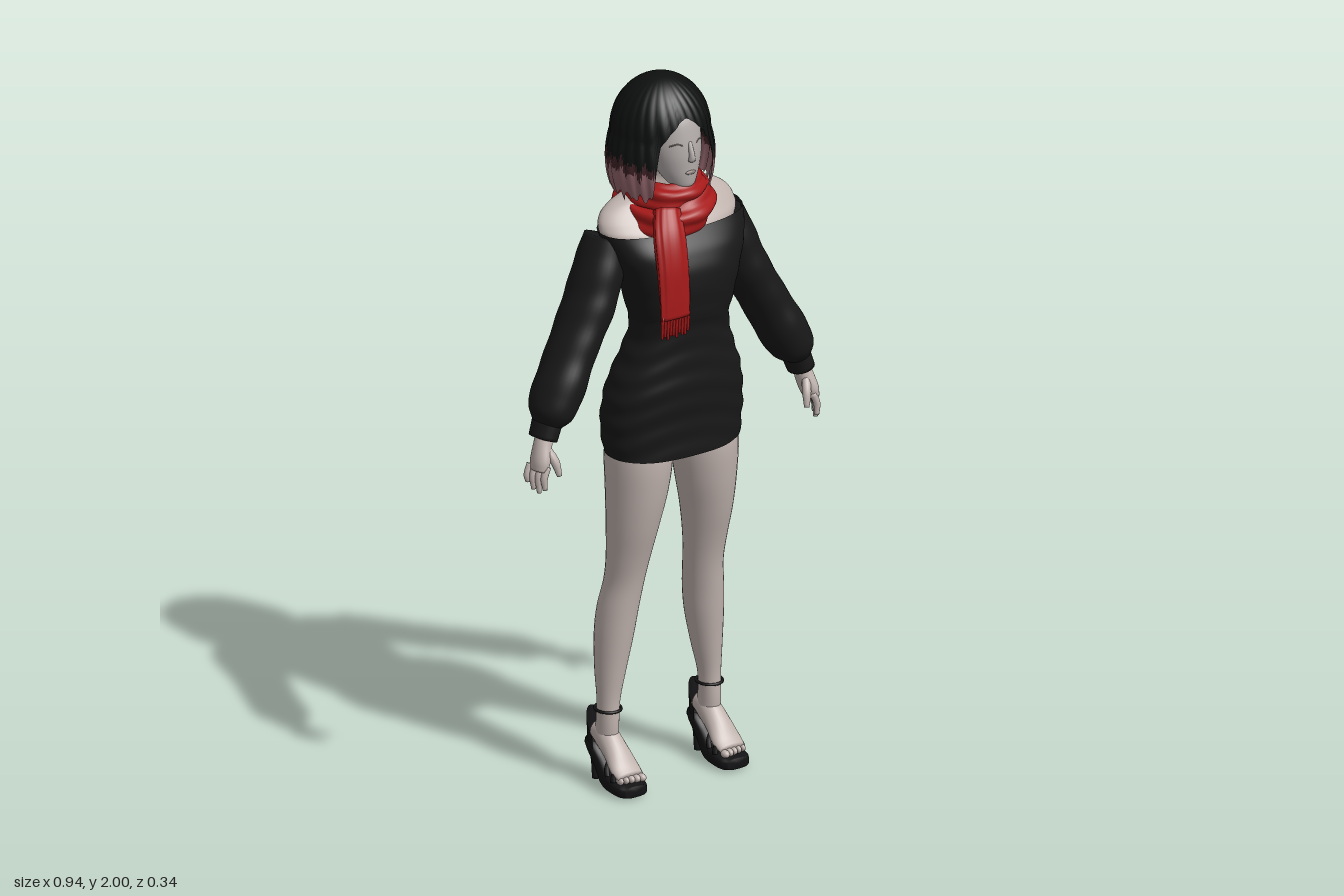
import * as THREE from 'three';
import { mergeVertices } from 'three/addons/utils/BufferGeometryUtils.js';

const V = (x, y, z) => new THREE.Vector3(x, y, z);
const mat = (color, name, side = THREE.FrontSide) => {
  const m = new THREE.MeshStandardMaterial({ color, side });
  m.name = name;
  return m;
};

// Smooth grid surface from a rule f(u, v); pick(y, u) may sort faces into material groups
function surface(f, nu, nv, pick) {
  const pos = [], lists = [[], [], []];
  for (let j = 0; j <= nv; j++) for (let i = 0; i <= nu; i++) pos.push(...f(i / nu, j / nv).toArray());
  for (let j = 0; j < nv; j++) for (let i = 0; i < nu; i++) {
    const a = j * (nu + 1) + i, b = a + 1, c = a + nu + 1, d = c + 1;
    const k = pick ? pick((pos[a * 3 + 1] + pos[d * 3 + 1]) / 2, i / nu) : 0;
    lists[k].push(a, c, b, b, c, d);
  }
  let g = new THREE.BufferGeometry();
  g.setAttribute('position', new THREE.Float32BufferAttribute(pos, 3));
  g.setIndex(lists.flat());
  g = mergeVertices(g, 1e-5);
  g.computeVertexNormals();
  if (pick) {
    g.clearGroups();
    let start = 0;
    lists.forEach((l, k) => { g.addGroup(start, l.length, k); start += l.length; });
  }
  return g;
}

// Loft of oval rings; each section is [x, y, z, halfWidth, halfDepth]
function loft(sections, { sides = 24, steps = 32, cap = true, flat = false, power = 1, warp } = {}) {
  const path = new THREE.CatmullRomCurve3(sections.map(s => V(s[0], s[1], s[2])));
  const size = new THREE.CatmullRomCurve3(sections.map(s => V(s[3], s[4], 0)), false, 'catmullrom', 0.5);
  const pw = c => Math.sign(c) * Math.abs(c) ** power;
  return surface((u, v) => {
    const j = Math.round(v * steps);
    const t = cap ? THREE.MathUtils.clamp((j - 1) / (steps - 2), 0, 1) : v;
    const r = cap && (j === 0 || j === steps) ? 0 : 1;
    const T = path.getTangent(t);
    if (flat) T.set(0, Math.sign(T.y), 0);
    const U = V(1, 0, 0).addScaledVector(T, -T.x).normalize();
    const W = U.clone().cross(T);
    const s = size.getPoint(t), a = u * Math.PI * 2, p = path.getPoint(t);
    const k = r * (warp ? warp(p.y, a) : 1);
    return p.addScaledVector(U, s.x * k * pw(Math.cos(a))).addScaledVector(W, s.y * k * pw(Math.sin(a)));
  }, sides, steps);
}

export function createModel() {
  const model = new THREE.Group();
  model.name = 'standingWoman';
  const D = THREE.DoubleSide;
  const skin = mat(0xc0b3ae, 'skin'), faceSkin = mat(0xb3acaa, 'face skin'), feature = mat(0x8f817d, 'face features');
  const cloth = mat(0x181818, 'black knit', D), shoe = mat(0x131315, 'shoe black', D), red = mat(0xa51919, 'scarf red');
  const hairMats = [mat(0x0e1010, 'dark hair', D), mat(0x3f2226, 'fading hair', D), mat(0x90646a, 'pink hair tips', D)];
  const add = (parent, name, geo, material, p = [0, 0, 0], s = [1, 1, 1], r = [0, 0, 0]) => {
    const m = new THREE.Mesh(geo, material);
    m.name = name;
    m.position.set(...p); m.scale.set(...s); m.rotation.set(...r);
    parent.add(m);
    return m;
  };
  const ball = new THREE.SphereGeometry(1, 24, 16);

  // Neck, sloping shoulders and upper chest
  add(model, 'neckAndShoulders', loft([
    [0, 1.5, 0.01, 0.15, 0.09], [0, 1.58, -0.014, 0.205, 0.092], [0, 1.61, -0.028, 0.212, 0.082],
    [0, 1.637, -0.038, 0.198, 0.07], [0, 1.658, -0.042, 0.168, 0.06], [0, 1.673, -0.042, 0.127, 0.054],
    [0, 1.69, -0.034, 0.075, 0.048], [0, 1.72, -0.024, 0.047, 0.045], [0, 1.78, -0.01, 0.043, 0.043]],
  { flat: true, sides: 48, steps: 48 }), skin);

  // Off-shoulder dress with soft gathered folds
  add(model, 'dress', loft([
    [0, 0.957, 0, 0.198, 0.116], [0, 1.05, -0.002, 0.207, 0.122], [0, 1.15, 0.008, 0.194, 0.122],
    [0, 1.25, 0.023, 0.157, 0.108], [0, 1.32, 0.032, 0.138, 0.102], [0, 1.38, 0.032, 0.149, 0.115],
    [0, 1.47, 0.028, 0.172, 0.128], [0, 1.54, 0.014, 0.2, 0.124], [0, 1.597, -0.008, 0.218, 0.106]], {
    flat: true, cap: false, sides: 64, steps: 90, power: 0.87,
    warp: (y, a) => 1 + (y < 1.36 ? 0.011 : 0.004) * Math.sin(y * 95 + 2.2 * Math.sin(a * 2 + 1) + Math.sin(a * 3)),
  }), cloth);
  add(model, 'shorts', ball, cloth, [0, 0.99, -0.005], [0.09, 0.045, 0.08]);

  // Head with small facial features
  const head = new THREE.Group();
  head.name = 'head';
  model.add(head);
  add(head, 'face', loft([
    [0, 1.702, 0.05, 0.018, 0.022], [0, 1.715, 0.04, 0.036, 0.043], [0, 1.75, 0.022, 0.056, 0.065],
    [0, 1.8, 0.01, 0.07, 0.078], [0, 1.85, -0.006, 0.075, 0.088], [0, 1.9, -0.018, 0.07, 0.086],
    [0, 1.95, -0.025, 0.045, 0.055]], { flat: true, sides: 32 }), faceSkin);
  add(head, 'nose', loft([[0, 1.838, 0.079, 0.006, 0.006], [0, 1.8, 0.092, 0.008, 0.01], [0, 1.787, 0.09, 0.01, 0.009]],
    { sides: 12, steps: 12 }), faceSkin);
  add(head, 'lips', ball, feature, [0, 1.753, 0.086], [0.016, 0.006, 0.005]);
  for (const s of [1, -1]) {
    const lash = new THREE.CatmullRomCurve3([V(s * 0.017, 1.829, 0.081), V(s * 0.034, 1.836, 0.075), V(s * 0.052, 1.83, 0.061)]);
    add(head, 'eyeLine', new THREE.TubeGeometry(lash, 10, 0.002, 6), feature);
  }

  // Bob haircut: crown to tips, cut short over the face
  const smooth = THREE.MathUtils.smoothstep;
  const jag = a => 0.5 * Math.sin(a * 23) + 0.5 * Math.sin(a * 37 + 1);
  const hair = surface((u, v) => {
    const a = (u - 0.5) * Math.PI * 2, f = Math.abs(a + 0.03);
    const fringe = 1.912 - 0.075 * Math.min(1, f / 0.6) ** 1.4;
    const tip = 1.69 + 0.016 * jag(a);
    const end = THREE.MathUtils.lerp(fringe, tip, smooth(f, 0.56, 0.74));
    const y = 2 - (2 - end) * v * v;
    const h = Math.max(0, (y - 1.85) / 0.15), d = Math.max(0, 1.85 - y);
    let r = Math.sqrt(Math.max(0, 1 - h * h)) * (1 + 2.2 * d - 14.5 * d * d);
    r *= 1 + 0.04 * v * (Math.abs(Math.sin(a * 14 + Math.sin(v * 4))) - 0.5);
    return V(-0.015 + 0.134 * r * Math.sin(a), y, -0.031 + 0.13 * r * Math.cos(a));
  }, 180, 48, (y, u) => {
    const a = (u - 0.5) * Math.PI * 2;
    const e = y + 0.016 * jag(a) + 0.014 * Math.cos(a);
    return e > 1.79 ? 0 : e > 1.765 ? 1 : 2;
  });
  add(head, 'hair', hair, hairMats);

  // Scarf: two pleated wraps, a hanging end and its fringe
  const scarf = new THREE.Group();
  scarf.name = 'scarf';
  model.add(scarf);
  const wrap = (rx, rz, tube, high, y, dip, lean) => surface((u, v) => {
    const b = u * Math.PI * 2, a = v * Math.PI * 2;
    const k = 1 + 0.13 * Math.sin(5 * b + 2 * a) + 0.05 * Math.sin(7 * a + b);
    const o = tube * k * Math.cos(b);
    return V(-0.012 + (rx + o) * Math.sin(a), y - dip * Math.cos(a) + lean * Math.sin(a) + high * k * Math.sin(b),
      -0.016 + (rz + o) * Math.cos(a));
  }, 40, 80);
  add(scarf, 'upperWrap', wrap(0.074, 0.079, 0.033, 0.035, 1.687, 0.004, 0.007), red);
  add(scarf, 'lowerWrap', wrap(0.092, 0.099, 0.039, 0.043, 1.642, 0.016, 0.02), red);
  add(scarf, 'hangingEnd', loft([
    [-0.07, 1.66, 0.075, 0.035, 0.025], [-0.09, 1.6, 0.116, 0.045, 0.024], [-0.097, 1.53, 0.139, 0.046, 0.021],
    [-0.098, 1.45, 0.15, 0.046, 0.015], [-0.099, 1.385, 0.155, 0.045, 0.01]],
  { sides: 40, power: 0.8, warp: (y, a) => 1 + 0.06 * Math.sin(a * 8) }), red);
  for (let i = 0; i < 10; i++) {
    const x = -0.14 + i * 0.0092, e = 1.335 + 0.006 * Math.sin(i * 2.3);
    add(scarf, 'fringe', loft([[x, 1.395, 0.155, 0.005, 0.006], [x - 0.002, e, 0.156, 0.0035, 0.004]], { sides: 8, steps: 6 }), red);
  }

  // Arms and legs, built on the left side and mirrored
  for (const s of [1, -1]) {
    const side = new THREE.Group();
    side.name = (s > 0 ? 'left' : 'right') + 'Limbs';
    model.add(side);
    const mir = list => list.map(p => [p[0] * s, ...p.slice(1)]);
    const limb = (name, list, material, opts) => add(side, name, loft(mir(list), opts), material);

    limb('sleeve', [
      [0.183, 1.572, -0.042, 0.053, 0.068], [0.207, 1.505, -0.036, 0.062, 0.076], [0.245, 1.405, -0.03, 0.064, 0.082],
      [0.308, 1.29, -0.02, 0.061, 0.078], [0.364, 1.185, -0.007, 0.064, 0.078], [0.391, 1.135, -0.003, 0.058, 0.068],
      [0.405, 1.105, -0.002, 0.034, 0.046]], cloth,
    { sides: 36, steps: 60, warp: (y, a) => 1 + 0.014 * Math.sin(y * 70 + 2 * Math.sin(a)) });
    limb('cuff', [[0.4, 1.115, -0.002, 0.036, 0.048], [0.417, 1.068, 0.001, 0.035, 0.045]], cloth, { steps: 8 });

    // Hand with relaxed fingers
    limb('palm', [[0.413, 1.08, 0.002, 0.022, 0.024], [0.422, 1.05, 0.006, 0.024, 0.028],
      [0.434, 1.01, 0.012, 0.023, 0.034], [0.441, 0.985, 0.014, 0.018, 0.03]], skin, { steps: 16 });
    for (let i = 0; i < 4; i++) {
      const z = 0.038 - i * 0.016, x = 0.429 + i * 0.007, e = [0.938, 0.927, 0.935, 0.952][i];
      limb('finger', [[x, 1, z, 0.01, 0.01], [x + 0.012, 0.97, z + 0.002, 0.0095, 0.0095],
        [x + 0.011, e, z + 0.004, 0.006, 0.006]], skin, { sides: 10, steps: 12 });
    }
    limb('thumb', [[0.42, 1.045, 0.02, 0.012, 0.012], [0.407, 1.01, 0.042, 0.012, 0.012],
      [0.4, 0.972, 0.052, 0.007, 0.007]], skin, { sides: 10, steps: 12 });

    // Leg
    limb('leg', [
      [0.105, 1.04, -0.003, 0.08, 0.085], [0.106, 0.95, -0.002, 0.088, 0.098], [0.111, 0.85, -0.003, 0.081, 0.09],
      [0.119, 0.75, -0.01, 0.069, 0.076], [0.124, 0.65, -0.024, 0.058, 0.061], [0.128, 0.58, -0.037, 0.053, 0.057],
      [0.138, 0.5, -0.051, 0.054, 0.059], [0.146, 0.42, -0.058, 0.051, 0.056], [0.156, 0.32, -0.06, 0.04, 0.045],
      [0.163, 0.24, -0.058, 0.03, 0.034], [0.165, 0.17, -0.06, 0.028, 0.036], [0.165, 0.12, -0.064, 0.028, 0.036]],
    skin, { flat: true, sides: 28, steps: 60 });

    // Foot and toes
    limb('foot', [[0.165, 0.142, -0.106, 0.024, 0.026], [0.165, 0.135, -0.07, 0.03, 0.038],
      [0.165, 0.102, -0.02, 0.036, 0.03], [0.165, 0.068, 0.018, 0.043, 0.021], [0.165, 0.053, 0.045, 0.039, 0.013]],
    skin, { steps: 24 });
    for (let i = 0; i < 5; i++)
      add(side, 'toe', ball, skin, [s * (0.135 + i * 0.0155), 0.048, 0.053 - i * 0.003], [0.011 - i * 0.0009, 0.011, 0.015]);

    // High-heeled platform sandal
    limb('sole', [[0.165, 0.02, 0.072, 0.034, 0.015], [0.165, 0.02, 0.052, 0.046, 0.019], [0.165, 0.024, 0.015, 0.048, 0.023],
      [0.165, 0.03, -0.025, 0.042, 0.027], [0.165, 0.066, -0.065, 0.036, 0.022], [0.165, 0.1, -0.1, 0.036, 0.018],
      [0.165, 0.108, -0.126, 0.026, 0.015]], shoe, { power: 0.6, steps: 36 });
    limb('heel', [[0.165, 0.115, -0.108, 0.032, 0.028], [0.165, 0.06, -0.112, 0.015, 0.013],
      [0.165, 0, -0.108, 0.013, 0.011]], shoe, { flat: true, steps: 16 });
    // Heel cup, highest at the back
    add(side, 'heelCup', surface((u, v) => {
      const a = Math.PI * (0.5 + u), back = Math.max(0, -Math.cos(a));
      return V(s * 0.165 + 0.036 * Math.sin(a), 0.1 + v * (0.03 + 0.068 * back), -0.078 + (0.052 + 0.006 * v) * Math.cos(a));
    }, 24, 8), shoe);
    add(side, 'ankleStrap', new THREE.TorusGeometry(0.034, 0.004, 8, 28), shoe, [s * 0.164, 0.215, -0.059], [1, 1.1, 1], [Math.PI / 2, 0, 0]);
    const arch = new THREE.TorusGeometry(0.044, 0.007, 8, 20, Math.PI);
    add(side, 'toeStrap', arch, shoe, [s * 0.165, 0.042, 0.028], [1, 0.85, 1.2], [-0.3, 0, 0]);
    add(side, 'instepStrap', arch, shoe, [s * 0.165, 0.05, 0.002], [1, 1.05, 1], [-0.5, 0, 0]);
  }
  return model;
}
